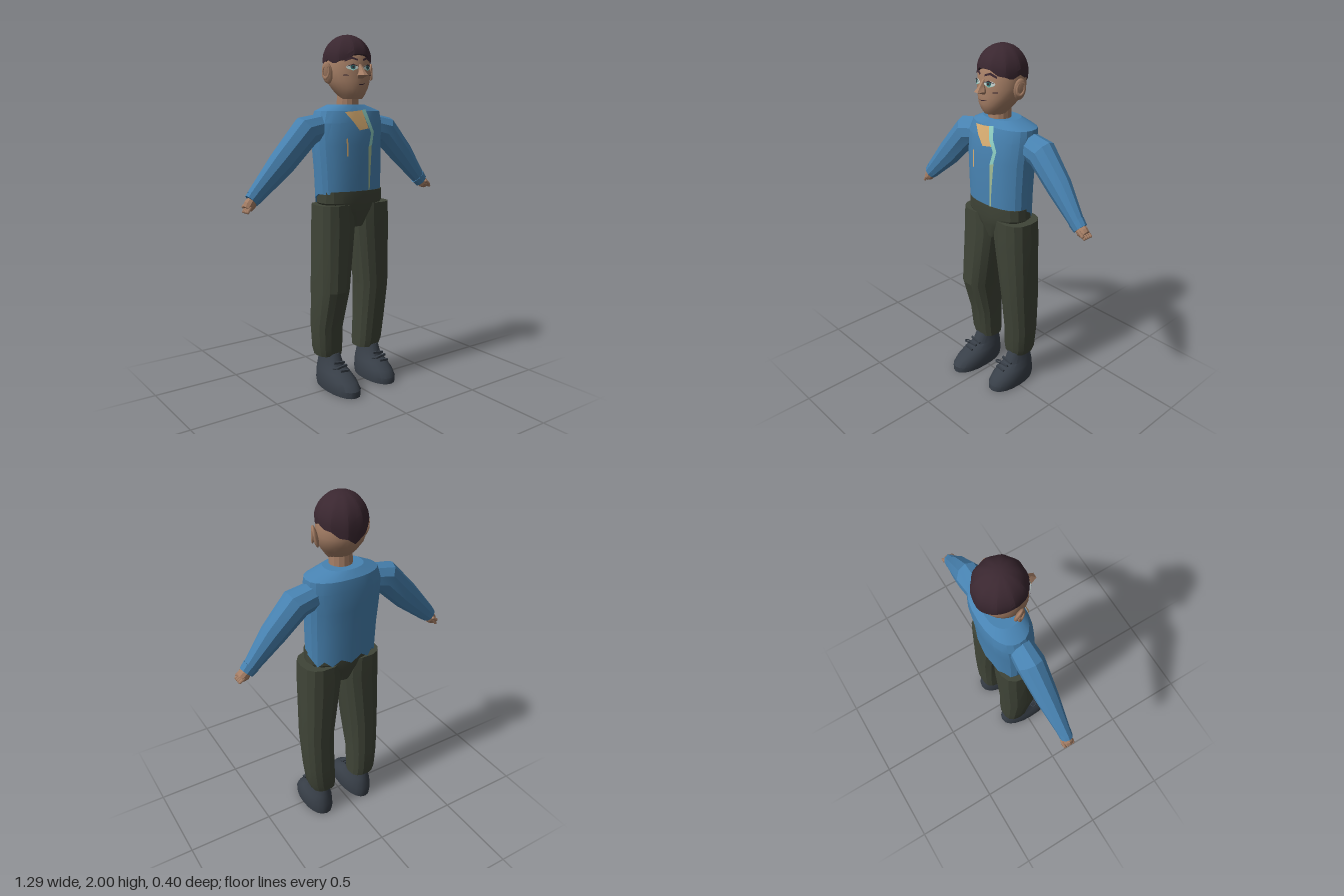
import * as THREE from 'three';
import { toCreasedNormals } from 'three/addons/utils/BufferGeometryUtils.js';

const mat = (name, color, side = THREE.FrontSide) => {
  const m = new THREE.MeshStandardMaterial({ color, side });
  m.name = name;
  return m;
};

// Closed skin over m+1 rings of n points; rings run along the axis, counterclockwise
function grid(m, n, pt, crease = 0.4) {
  const pos = [], idx = [];
  for (let i = 0; i <= m; i++) {
    for (let j = 0; j < n; j++) pos.push(...pt(i, (j / n) * Math.PI * 2, j));
  }
  for (let i = 0; i < m; i++) {
    for (let j = 0; j < n; j++) {
      const a = i * n + j, b = i * n + (j + 1) % n;
      idx.push(a, b, b + n, a, b + n, a + n);
    }
  }
  for (const i of [0, m]) {
    const c = [0, 0, 0];
    for (let j = 0; j < n; j++) for (let k = 0; k < 3; k++) c[k] += pos[(i * n + j) * 3 + k] / n;
    const ci = pos.length / 3;
    pos.push(...c);
    for (let j = 0; j < n; j++) {
      const a = i * n + j, b = i * n + (j + 1) % n;
      if (i) idx.push(a, b, ci); else idx.push(b, a, ci);
    }
  }
  const g = new THREE.BufferGeometry();
  g.setAttribute('position', new THREE.Float32BufferAttribute(pos, 3));
  g.setIndex(idx);
  return toCreasedNormals(g, crease);
}

const spow = (v, p) => Math.sign(v) * Math.abs(v) ** (2 / p);

// Horizontal rings from bottom to top, each [y, x0, x1, z0, z1]
function loft(rings, n = 16, p = 2.2, crease = 0.4, shift = (y) => y) {
  return grid(rings.length - 1, n, (i, a, j) => {
    const [y, x0, x1, z0, z1] = rings[i];
    const c = spow(Math.cos(a), p), s = -spow(Math.sin(a), p);
    return [(x0 + x1) / 2 + (x1 - x0) / 2 * c, shift(y, i, s, j), (z0 + z1) / 2 + (z1 - z0) / 2 * s];
  }, crease);
}

// Rings square to a path in the xy plane, each [x, y, z, radius, depth radius]
function limb(path, n = 10, crease = 0.3) {
  const last = path.length - 1;
  return grid(last, n, (i, a) => {
    const [x, y, z, r, rz] = path[i], q = path[Math.min(i + 1, last)], o = path[Math.max(i - 1, 0)];
    const t = new THREE.Vector2(q[0] - o[0], q[1] - o[1]).normalize(), c = r * Math.cos(a);
    return [x + t.y * c, y - t.x * c, z - rz * Math.sin(a)];
  }, crease);
}

// Front surface height of a loft
const frontOf = (rings, p) => (x, y) => {
  let i = 0;
  while (i < rings.length - 2 && rings[i + 1][0] < y) i++;
  const f = THREE.MathUtils.clamp((y - rings[i][0]) / (rings[i + 1][0] - rings[i][0]), 0, 1);
  const [, x0, x1, z0, z1] = rings[i].map((v, k) => THREE.MathUtils.lerp(v, rings[i + 1][k], f));
  const d = Math.min(1, Math.abs((x - (x0 + x1) / 2) / ((x1 - x0) / 2)));
  return (z0 + z1) / 2 + (z1 - z0) / 2 * (1 - d ** p) ** (1 / p);
};

export function createModel() {
  const model = new THREE.Group();
  model.name = 'standingMan';
  const skin = mat('skin', 0xa67f66), hair = mat('darkHair', 0x3a2730, THREE.DoubleSide);
  const blue = mat('sweaterBlue', 0x4883b2), pants = mat('trouserGreen', 0x3f4437);
  const shoe = mat('shoeGrey', 0x383f48), tan = mat('tan', 0xd9ae72, THREE.DoubleSide);
  const aqua = mat('aqua', 0x8fd0c4, THREE.DoubleSide), sage = mat('sage', 0xa3bd96, THREE.DoubleSide);
  const white = mat('eyeWhite', 0xc9d6d2, THREE.DoubleSide), teal = mat('irisTeal', 0x2f6a68, THREE.DoubleSide);

  const add = (name, geo, material, parent = model) => {
    const mesh = new THREE.Mesh(geo, material);
    mesh.name = name;
    parent.add(mesh);
    return mesh;
  };
  // Flat patch pressed onto a front surface
  const patch = (name, pts, material, zf, off) => {
    const g = new THREE.ShapeGeometry(new THREE.Shape(pts.map(([x, y]) => new THREE.Vector2(x, y))));
    const p = g.attributes.position;
    for (let i = 0; i < p.count; i++) p.setZ(i, zf(p.getX(i), p.getY(i)) + off);
    g.computeVertexNormals();
    return add(name, g, material);
  };
  const oval = (x, y, rx, ry, n = 12) => Array.from({ length: n }, (_, i) => {
    const a = i / n * Math.PI * 2;
    return [x + rx * Math.cos(a), y + ry * Math.sin(a)];
  });

  // Sweater with a ragged hem at the back
  const torso = [
    [1.13, -0.183, 0.226, -0.176, 0.064], [1.25, -0.19, 0.228, -0.18, 0.066],
    [1.4, -0.2, 0.232, -0.19, 0.064], [1.52, -0.2, 0.242, -0.198, 0.056],
    [1.585, -0.175, 0.235, -0.19, 0.038], [1.62, -0.095, 0.125, -0.155, 0.015],
  ];
  add('sweater', loft(torso, 24, 2.3, 0.3, (y, i, s, j) =>
    i === 0 && s < -0.2 ? 1.075 + (j % 2) * 0.035 : y), blue);
  const chest = frontOf(torso, 2.3);
  patch('chestPatch', [[-0.07, 1.58], [0, 1.585], [0.045, 1.59], [0.055, 1.54], [0.075, 1.49], [0.01, 1.48], [-0.03, 1.53]], tan, chest, 0.011);
  patch('chestStripe', [[0.04, 1.59], [0.068, 1.595], [0.085, 1.53], [0.112, 1.47], [0.095, 1.4], [0.07, 1.39], [0.09, 1.465], [0.062, 1.52]], aqua, chest, 0.013);
  patch('lowerStripe', [[0.07, 1.39], [0.095, 1.4], [0.083, 1.25], [0.079, 1.15], [0.068, 1.15], [0.07, 1.25]], sage, chest, 0.01);
  patch('chestLine', [[-0.073, 1.435], [-0.064, 1.44], [-0.064, 1.34], [-0.073, 1.34]], tan, chest, 0.008);

  // Arms, cuffs and hands
  const arms = [
    ['right', -1, [[-0.14, 1.5, -0.065, 0.075, 0.065], [-0.25, 1.478, -0.065, 0.088, 0.075],
      [-0.41, 1.313, -0.058, 0.078, 0.06], [-0.585, 1.142, -0.05, 0.048, 0.034]], [-0.6, 1.127], -0.05, [-0.025, -0.04]],
    ['left', 1, [[0.18, 1.5, -0.085, 0.075, 0.065], [0.298, 1.474, -0.083, 0.085, 0.075],
      [0.43, 1.335, -0.077, 0.074, 0.06], [0.575, 1.168, -0.07, 0.042, 0.034]], [0.59, 1.155], -0.07, [0.035, -0.023]],
  ];
  for (const [side, s, path, [wx, wy], z, [dx, dy]] of arms) {
    add(side + 'Sleeve', limb(path), blue);
    add(side + 'Cuff', limb([[wx - s * 0.03, wy + 0.03, z, 0.05, 0.037], [wx, wy, z, 0.043, 0.034]]), blue);
    add(side + 'Palm', limb([[wx - s * 0.01, wy + 0.01, z, 0.026, 0.026], [wx + dx * 0.4, wy + dy * 0.5, z, 0.034, 0.03],
      [wx + dx, wy + dy, z, 0.026, 0.028]]), skin);
    for (let k = 0; k < 4; k++) {
      const f = add(side + 'Finger', new THREE.CapsuleGeometry(0.009, 0.025, 3, 6), skin);
      f.position.set(wx + dx * 1.1, wy + dy * 1.1, z - 0.024 + k * 0.016);
      f.rotation.z = Math.atan2(-dx, dy);
    }
    const thumb = add(side + 'Thumb', new THREE.CapsuleGeometry(0.01, 0.03, 3, 6), skin);
    thumb.position.set(wx + dx * 0.8, wy + dy * 0.5, z + (s < 0 ? -0.03 : 0.03));
    thumb.rotation.z = s * 0.9;
  }

  // Trousers
  add('trouserHips', loft([[0.94, -0.02, 0.085, -0.13, 0.035], [1.03, -0.12, 0.18, -0.155, 0.06],
    [1.08, -0.178, 0.23, -0.16, 0.066], [1.145, -0.176, 0.228, -0.155, 0.066]], 18, 2.4, 0.3), pants);
  add('rightTrouserLeg', loft([[0.185, -0.185, -0.03, -0.155, -0.005], [0.23, -0.197, -0.03, -0.162, 0.005],
    [0.36, -0.208, -0.03, -0.163, 0.015], [0.58, -0.215, -0.02, -0.163, 0.08],
    [0.94, -0.208, 0.03, -0.165, 0.068], [1.07, -0.203, 0.02, -0.163, 0.064]], 14, 2.5, 0.3), pants);
  add('leftTrouserLeg', loft([[0.185, 0.09, 0.24, -0.155, -0.005], [0.23, 0.088, 0.258, -0.162, 0.005],
    [0.36, 0.092, 0.272, -0.163, 0.015], [0.58, 0.09, 0.279, -0.163, 0.045],
    [0.94, 0.038, 0.274, -0.165, 0.064], [1.07, 0.04, 0.268, -0.163, 0.064]], 14, 2.5, 0.3), pants);

  // Shoes with laces
  for (const [side, cx, toe] of [['right', -0.105, 0.2], ['left', 0.177, 0.158]]) {
    const rows = [[0, 0.08, -0.16, 1], [0.035, 0.085, -0.165, 1], [0.07, 0.08, -0.163, 0.85],
      [0.105, 0.072, -0.16, 0.52], [0.135, 0.058, -0.155, 0.2], [0.2, 0.05, -0.14, 0.02]];
    add(side + 'Shoe', loft(rows.map(([y, r, z0, f]) => [y, cx - r, cx + r, z0, f * toe]), 20, 2.2, 0.6), shoe);
    for (let k = 0; k < 3; k++) {
      const lace = add(side + 'Lace', new THREE.BoxGeometry(0.075 - k * 0.008, 0.012, 0.012), shoe);
      lace.position.set(cx, 0.155 - k * 0.015, 0.03 + k * 0.028);
      lace.rotation.z = k % 2 ? 0.12 : -0.12;
    }
    const bow = add(side + 'LaceBow', new THREE.TorusGeometry(0.018, 0.005, 5, 10), shoe);
    bow.position.set(cx - 0.04, 0.14, 0.06);
    bow.rotation.x = 1.2;
  }

  // Neck and head
  add('neck', loft([[1.59, -0.048, 0.08, -0.115, 0.01], [1.69, -0.045, 0.078, -0.11, 0.01]], 14, 2), skin);
  const head = [
    [1.65, -0.038, 0.074, -0.09, 0.045], [1.672, -0.055, 0.09, -0.108, 0.06], [1.705, -0.08, 0.115, -0.14, 0.07],
    [1.745, -0.1, 0.138, -0.17, 0.07], [1.79, -0.11, 0.15, -0.186, 0.067], [1.85, -0.107, 0.147, -0.185, 0.063],
    [1.91, -0.09, 0.13, -0.16, 0.042], [1.96, -0.05, 0.09, -0.12, 0],
  ];
  add('head', loft(head, 24, 2, 0.7), skin);
  const face = frontOf(head, 2);

  // Ears
  for (const s of [-1, 1]) {
    const ear = add(s < 0 ? 'rightEar' : 'leftEar', new THREE.SphereGeometry(1, 10, 8), skin);
    ear.scale.set(0.014, 0.06, 0.033);
    ear.position.set(0.02 + s * 0.142, 1.79, -0.05);
    ear.rotation.set(0, -s * 0.45, -s * 0.22);
    const inner = add(s < 0 ? 'rightEarFold' : 'leftEarFold', new THREE.TorusGeometry(0.02, 0.006, 5, 10), skin);
    inner.scale.y = 1.7;
    inner.position.set(0.02 + s * 0.154, 1.795, -0.045);
    inner.rotation.set(0, Math.PI / 2 - s * 0.45, -s * 0.15);
  }

  // Nose
  add('nose', loft([[1.76, 0.0, 0.032, 0.05, 0.08], [1.775, -0.012, 0.044, 0.045, 0.124],
    [1.8, 0.003, 0.03, 0.045, 0.1], [1.835, 0.008, 0.025, 0.04, 0.068]], 6, 2, 0.3), skin);

  // Eyes, brows, cheeks and mouth
  for (const s of [-1, 1]) {
    const x = 0.014 + s * 0.047;
    patch('eye', oval(x, 1.818, 0.031, 0.014), white, face, 0.009);
    patch('lowerLid', [[x - 0.03, 1.812], [x, 1.8], [x + 0.03, 1.812], [x, 1.805]], aqua, face, 0.012);
    patch('iris', oval(x, 1.819, 0.013, 0.013), teal, face, 0.013);
    patch('pupil', oval(x, 1.819, 0.006, 0.006, 8), hair, face, 0.016);
    patch('upperLid', [[x - 0.034, 1.82], [x, 1.836], [x + 0.034, 1.82], [x, 1.829]], hair, face, 0.016);
    patch('brow', [[x - s * 0.03, 1.852], [x, 1.862], [x + s * 0.038, 1.846], [x + s * 0.034, 1.858],
      [x, 1.874], [x - s * 0.03, 1.862]], hair, face, 0.011);
    patch('cheekMark', [[x + s * 0.018, 1.773], [x + s * 0.042, 1.775], [x + s * 0.04, 1.78], [x + s * 0.018, 1.777]], hair, face, 0.006);
  }
  patch('mouth', [[-0.012, 1.727], [0.018, 1.723], [0.052, 1.735], [0.018, 1.729]], hair, face, 0.007);

  // Fluted hair cap, short over the brow and longer at the nape
  add('hair', grid(8, 40, (i, a) => {
    let f = Math.abs(a - Math.PI * 1.5);
    f = Math.min(f, Math.PI * 2 - f);
    const hem = [1.895, 1.87, 1.84, 1.855, 1.835, 1.805, 1.775];
    const k = Math.min(5, Math.floor(f / Math.PI * 6));
    const y0 = THREE.MathUtils.lerp(hem[k], hem[k + 1], f / Math.PI * 6 - k) + 0.006 * Math.cos(a * 10);
    const y = y0 + (2 - y0) * Math.sin(i / 8 * Math.PI / 2);
    const dome = Math.sqrt(Math.max(0.0004, 1 - Math.max(0, (y - 1.86) / 0.14) ** 2));
    const r = dome * (1 + 0.02 * Math.cos(a * 10)) * (i ? 1 : 0.98);
    return [0.02 + 0.133 * r * Math.cos(a), y, -0.064 - 0.134 * r * Math.sin(a)];
  }, 0.35), hair);

  return model;
}
